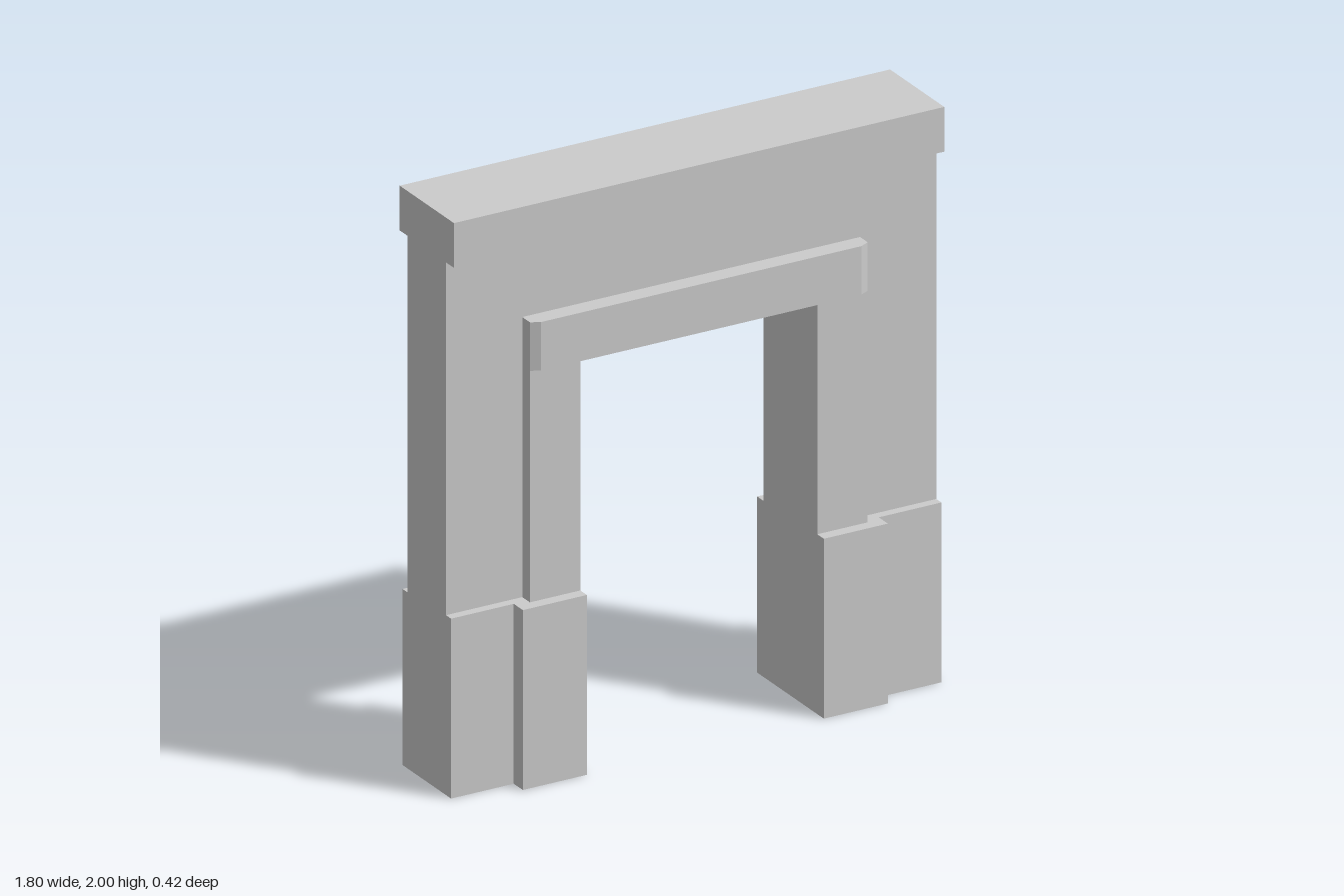
import * as THREE from 'three';

const material = new THREE.MeshStandardMaterial({ color: 0xcccccc, flatShading: true });

const W = 0.9;          // half width of the gateway
const OPEN = 0.435;     // half width of the opening
const OPEN_TOP = 1.425; // height of the opening
const TRIM = 0.62;      // half width of the raised surround
const TRIM_TOP = 1.593;
const WALL_Z = 0.12;    // half depth of the wall

function add(group, name, geometry) {
  const mesh = new THREE.Mesh(geometry, material);
  mesh.name = name;
  group.add(mesh);
  return mesh;
}

// Box given by its lower and upper limits on each axis
function block(group, name, [x0, x1], [y0, y1], [z0, z1]) {
  const mesh = add(group, name, new THREE.BoxGeometry(x1 - x0, y1 - y0, z1 - z0));
  mesh.position.set((x0 + x1) / 2, (y0 + y1) / 2, (z0 + z1) / 2);
}

// Upside-down U outline around the opening, extruded from z0 to z1
function portal(group, name, halfWidth, bottom, top, z0, z1) {
  const shape = new THREE.Shape([
    [-halfWidth, bottom], [-OPEN, bottom], [-OPEN, OPEN_TOP], [OPEN, OPEN_TOP],
    [OPEN, bottom], [halfWidth, bottom], [halfWidth, top], [-halfWidth, top],
  ].map(([x, y]) => new THREE.Vector2(x, y)));
  const geometry = new THREE.ExtrudeGeometry(shape, { depth: z1 - z0, bevelEnabled: false });
  add(group, name, geometry.translate(0, 0, z0));
}

// Lintel face: plan outline with chamfered ends, extruded upwards
function lintel(group, name, side) {
  const shape = new THREE.Shape([
    [-TRIM, WALL_Z], [TRIM, WALL_Z], [TRIM, 0.168], [0.588, 0.184], [-0.588, 0.184], [-TRIM, 0.168],
  ].map(([x, z]) => new THREE.Vector2(x, -z * side)));
  const geometry = new THREE.ExtrudeGeometry(shape, { depth: TRIM_TOP - OPEN_TOP, bevelEnabled: false });
  geometry.rotateX(-Math.PI / 2).translate(0, OPEN_TOP, 0);
  add(group, name, geometry);
}

export function createModel() {
  const gateway = new THREE.Group();
  gateway.name = 'gateway';

  // Main wall with its opening, and the coping on top
  portal(gateway, 'wall', W, 0, 1.9, -WALL_Z, WALL_Z);
  block(gateway, 'coping', [-W, W], [1.845, 2], [-0.17, 0.17]);

  for (const side of [1, -1]) {
    const face = side > 0 ? 'front' : 'back';
    const plinthTop = side > 0 ? 0.623 : 0.61;
    const span = (z0, z1) => (side > 0 ? [z0, z1] : [-z1, -z0]);

    // Jambs beside the opening and the lintel across it
    for (const s of [1, -1]) {
      const hand = s > 0 ? 'Left' : 'Right';
      const across = (x0, x1) => (s > 0 ? [x0, x1] : [-x1, -x0]);
      block(gateway, face + hand + 'Jamb', across(OPEN, TRIM), [0.5, OPEN_TOP], span(0.1, 0.168));
      // Stepped plinth: shallow outside, deeper next to the opening
      block(gateway, face + hand + 'OuterPlinth', across(0.6, W), [0, plinthTop], span(0.1, 0.152));
      block(gateway, face + hand + 'InnerPlinth', across(OPEN, 0.67), [0, plinthTop], span(0.1, 0.209));
    }
    lintel(gateway, face + 'Lintel', side);
  }
  return gateway;
}
